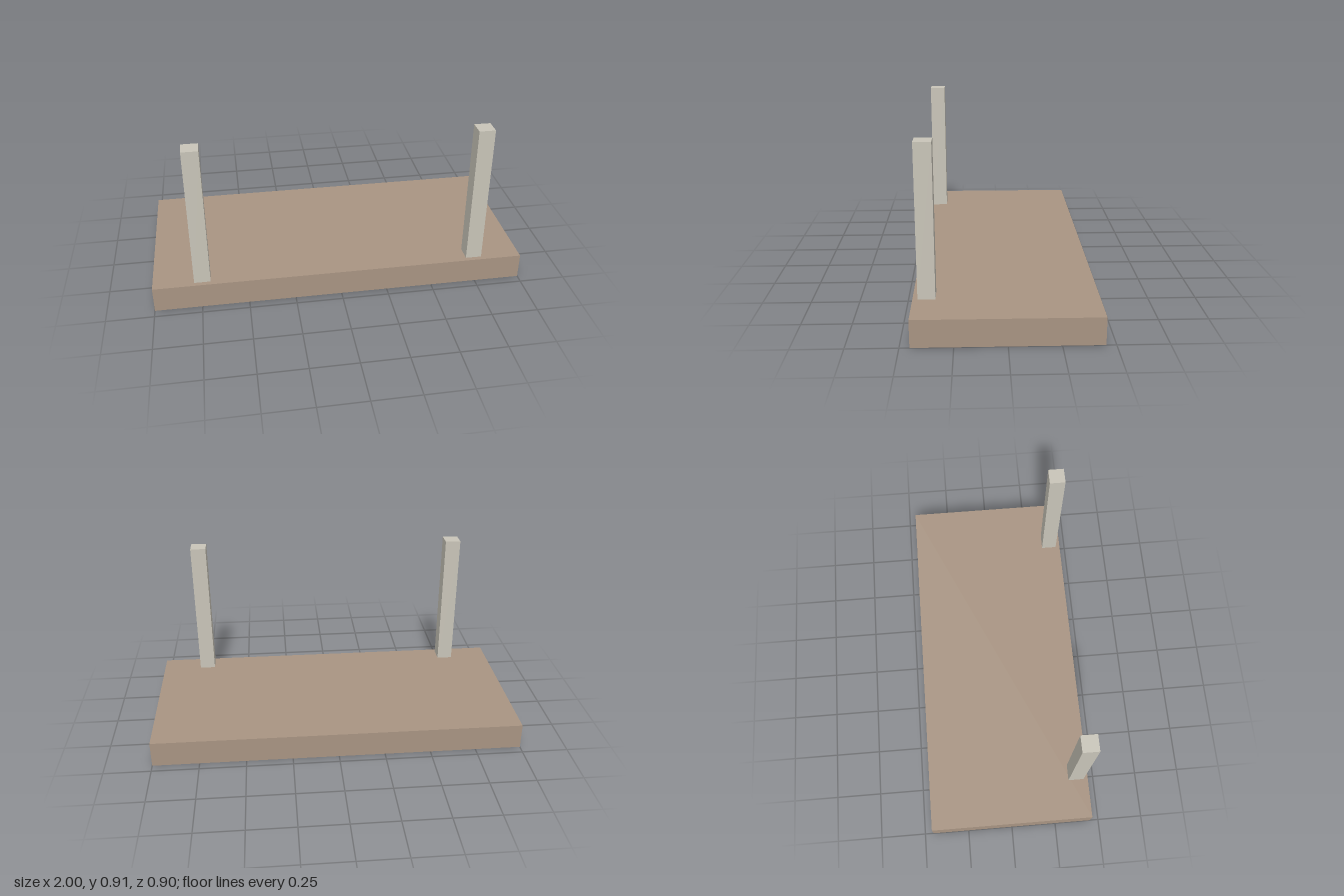
import * as THREE from 'three';

const SLAB = { width: 2, height: 0.14, depth: 0.904 };
const POST = { size: 0.086, top: 0.914, x: 0.74, z: 0.384 };

// Box standing on the given base height
function addBox(parent, name, [w, h, d], [x, base, z], color) {
  const mesh = new THREE.Mesh(
    new THREE.BoxGeometry(w, h, d),
    new THREE.MeshStandardMaterial({ color })
  );
  mesh.name = name;
  mesh.position.set(x, base + h / 2, z);
  parent.add(mesh);
}

export function createModel() {
  const model = new THREE.Group();
  model.name = 'platformWithPosts';

  // Brown base slab
  addBox(model, 'platform', [SLAB.width, SLAB.height, SLAB.depth], [0, 0, 0], 0xa89482);

  // Pair of square posts near the front edge
  for (const side of [-1, 1]) {
    addBox(
      model,
      side > 0 ? 'leftPost' : 'rightPost',
      [POST.size, POST.top - SLAB.height, POST.size],
      [side * POST.x, SLAB.height, POST.z],
      0xc8c4b8
    );
  }
  return model;
}
